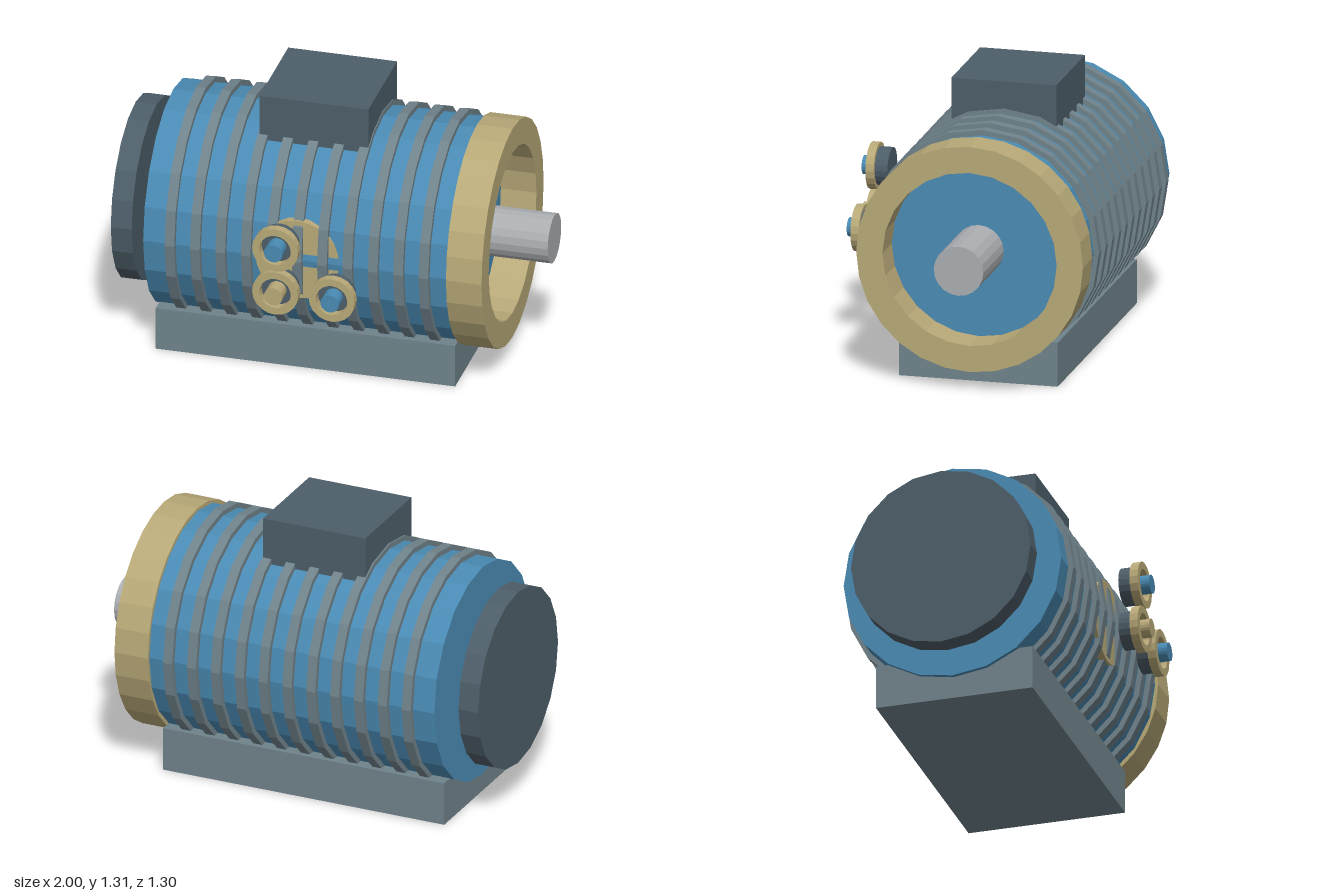
import * as THREE from 'three';

const mat = (name, color) => {
  const m = new THREE.MeshStandardMaterial({ color, flatShading: true });
  m.name = name;
  return m;
};

export function createModel() {
  const model = new THREE.Group();
  model.name = 'electricMotor';
  const blue = mat('blue paint', 0x4a8bb4);
  const gold = mat('pale brass', 0xb8a978);
  const slate = mat('dark slate', 0x4d5e69);
  const grey = mat('grey green', 0x70838b);
  const steel = mat('light steel', 0xabaeb1);

  const AXIS_Y = 0.63, AXIS_Z = -0.1;

  const add = (name, geometry, material, x, y, z, parent = model) => {
    const mesh = new THREE.Mesh(geometry, material);
    mesh.name = name;
    mesh.position.set(x, y, z);
    parent.add(mesh);
    return mesh;
  };

  // Box given by its limits on each axis
  const box = (name, material, [x0, x1], [y0, y1], [z0, z1]) =>
    add(name, new THREE.BoxGeometry(x1 - x0, y1 - y0, z1 - z0), material,
      (x0 + x1) / 2, (y0 + y1) / 2, (z0 + z1) / 2);

  // Cylinder lying on the motor axis from x0 to x1
  const drum = (name, material, radius, x0, x1, sides) =>
    add(name, new THREE.CylinderGeometry(radius, radius, x1 - x0, sides).rotateZ(-Math.PI / 2),
      material, (x0 + x1) / 2, AXIS_Y, AXIS_Z);

  // Faceted ring along +z
  const polygon = (radius, sides) => Array.from({ length: sides }, (_, i) => {
    const a = (i / sides) * Math.PI * 2;
    return new THREE.Vector2(Math.cos(a) * radius, Math.sin(a) * radius);
  });
  const ring = (outer, outerSides, inner, innerSides, depth) => {
    const shape = new THREE.Shape(polygon(outer, outerSides));
    shape.holes.push(new THREE.Path(polygon(inner, innerSides).reverse()));
    return new THREE.ExtrudeGeometry(shape, { depth, bevelEnabled: false });
  };

  // Base and terminal box
  box('base', grey, [-0.8, 0.63], [0, 0.21], [-0.475, 0.28]);
  box('terminalBox', slate, [-0.34, 0.18], [1.03, 1.31], [-0.35, 0.15]);

  // Body, cooling fins, rear cover and shaft
  drum('body', blue, 0.525, -0.82, 0.63, 20);
  for (let i = 0; i < 11; i++) {
    const x = -0.688 + i * 0.1213;
    drum('coolingFin', grey, 0.55, x - 0.023, x + 0.023, 20);
  }
  drum('rearCover', slate, 0.433, -1, -0.9, 20);
  drum('shaft', steel, 0.118, 0.6, 1, 20);

  // Front flange ring
  add('flange', ring(0.54, 28, 0.415, 24, 0.17).rotateY(Math.PI / 2), gold, 0.63, AXIS_Y, AXIS_Z);

  // Mounting disc on the side of the body
  add('mountingDisc', new THREE.CylinderGeometry(0.2, 0.2, 0.1, 24).rotateX(Math.PI / 2),
    gold, -0.085, AXIS_Y, 0.37);

  // Three knobs: dark drum, ring around the face, stub in the middle
  const knob = (x, y, stubMaterial) => {
    const g = new THREE.Group();
    g.name = 'knob';
    g.position.set(x, y, 0);
    const disc = (name, material, r, z0, z1) =>
      add(name, new THREE.CylinderGeometry(r, r, z1 - z0, 20).rotateX(Math.PI / 2),
        material, 0, 0, (z0 + z1) / 2, g);
    disc('knobDrum', slate, 0.09, 0.515, 0.575);
    add('knobRing', ring(0.11, 20, 0.075, 20, 0.04), gold, 0, 0, 0.575, g);
    disc('knobStub', stubMaterial, 0.044, 0.57, 0.65);
    model.add(g);
  };
  knob(-0.138, 0.768, blue);
  knob(-0.138, 0.545, gold);
  knob(0.132, 0.545, blue);

  return model;
}
